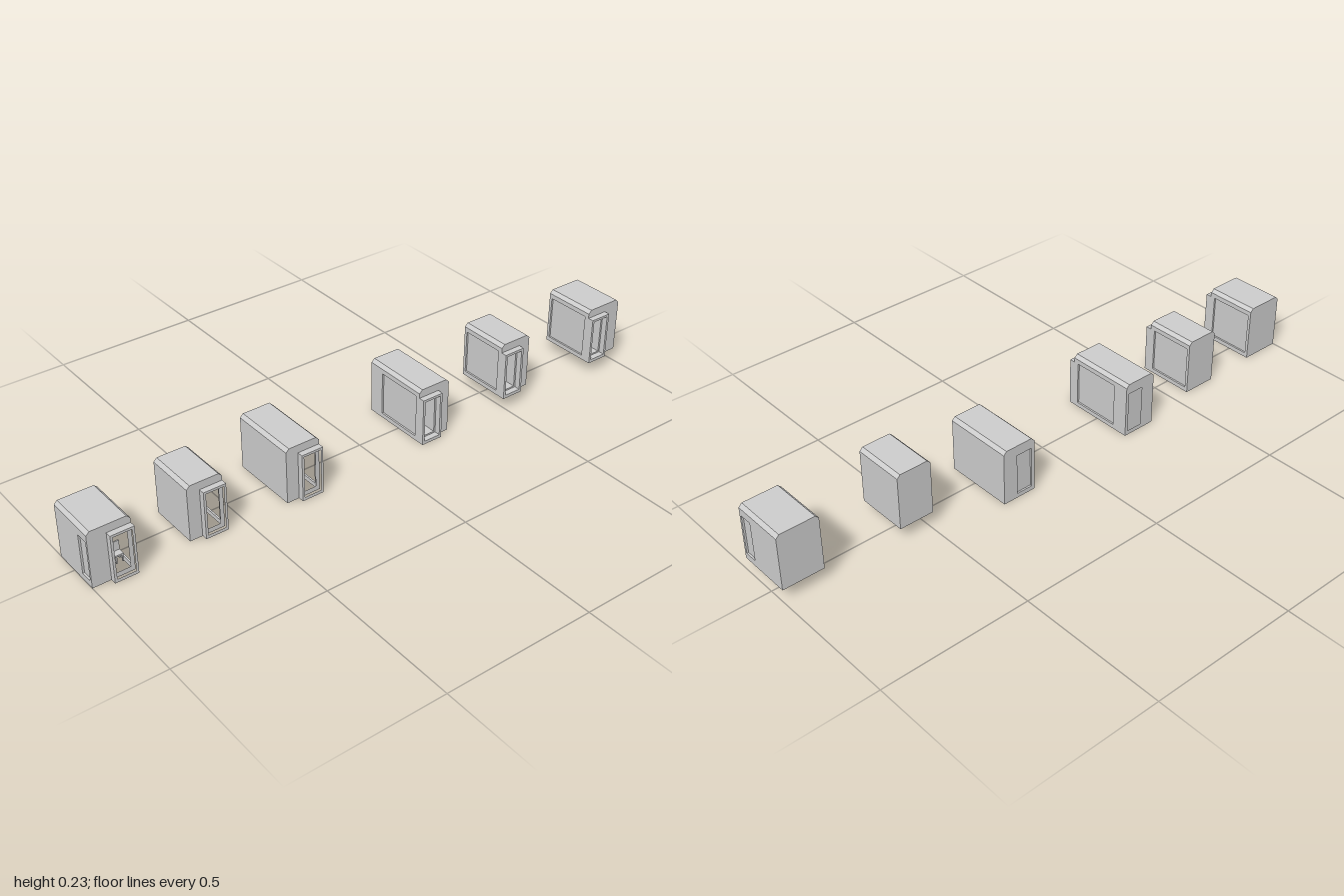
import * as THREE from 'three';

const material = new THREE.MeshStandardMaterial({ color: 0xcccccc, flatShading: true });

const H = 0.19;        // cabin height
const CHAMFER = 0.011; // roof edge chamfer
const SKIN = 0.006;    // depth of the recessed panels
const DOOR_W = 0.076;
const DOOR_H = 0.163;

// x is measured from the door edge of a cabin; side (+1 / -1) mirrors it
const cabins = [
  { x: -0.864, side: -1, w: 0.136, y: 0, back: -0.08, front: 0.099, kind: 'chair' },
  { x: -0.56, side: -1, w: 0.118, y: 0, back: -0.088, front: 0.087, kind: 'bench' },
  { x: -0.236, side: -1, w: 0.118, y: 0, back: -0.128, front: 0.109, kind: 'rear' },
  { x: 0.155, side: 1, w: 0.118, y: 0, back: -0.138, front: 0.1, kind: 'rear' },
  { x: 0.486, side: 1, w: 0.118, y: 0.045, back: -0.069, front: 0.108, kind: 'bench' },
  { x: 0.862, side: 1, w: 0.138, y: 0.045, back: -0.063, front: 0.119, kind: 'chair' },
];

const rect = (x0, y0, x1, y1) => [[x0, y0], [x1, y0], [x1, y1], [x0, y1]];

// Extruded outline with an optional hole
function plate(outline, hole, depth) {
  const toPoints = (list) => list.map(([x, y]) => new THREE.Vector2(x, y));
  const shape = new THREE.Shape(toPoints(outline));
  if (hole) shape.holes.push(new THREE.Path(toPoints(hole)));
  return new THREE.ExtrudeGeometry(shape, { depth, bevelEnabled: false });
}

function createCabin({ x, side, w, y, back, front, kind }) {
  const cabin = new THREE.Group();
  cabin.position.set(x, y, 0);
  const mirror = (points) => points.map(([px, py]) => [px * side, py]);
  const add = (name, geometry, px = 0, py = 0, pz = 0) => {
    const mesh = new THREE.Mesh(geometry, material);
    mesh.name = name;
    mesh.position.set(px, py, pz);
    cabin.add(mesh);
    return mesh;
  };
  const box = (name, sx, sy, sz, px, py, pz) =>
    add(name, new THREE.BoxGeometry(sx, sy, sz), px * side, py, pz);

  // Hollow body with chamfered roof edges; the walls below are set in for the side skins
  const eave = H - CHAMFER;
  const profile = mirror([
    [SKIN, 0], [w - SKIN, 0], [w - SKIN, eave], [w, eave],
    [w - CHAMFER, H], [CHAMFER, H], [0, eave], [SKIN, eave],
  ]);
  const room = mirror(rect(0.014, 0.016, DOOR_W - 0.014, 0.15));
  const wallZ = back + 0.016;
  add('body', plate(profile, room, front - wallZ), 0, 0, wallZ);
  add('backWall', plate(profile, null, 0.016 - SKIN), 0, 0, back + SKIN);

  // Rear skin, open behind the door on the long cabins
  const rearPanel = kind === 'rear' ? mirror(rect(0.011, 0.015, 0.067, 0.155)) : null;
  add('rearSkin', plate(profile, rearPanel, SKIN), 0, 0, back);

  // Side skins: a wide panel on the door side, a narrow one on the far side
  const sideSkin = (name, localX, hole) => {
    const geometry = plate(rect(back, 0, front, eave), hole, SKIN);
    geometry.rotateY(-Math.PI / 2).translate(SKIN / 2, 0, 0);
    add(name, geometry, localX * side);
  };
  const wideBack = kind === 'rear' ? back + 0.055 : back + 0.01;
  sideSkin('doorSideSkin', SKIN / 2, rect(wideBack, 0.015, front - 0.016, 0.163));
  const window = kind === 'chair' ? rect(front - 0.05, 0.021, front - 0.008, 0.154) : null;
  sideSkin('farSideSkin', w - SKIN / 2, window);

  // Projecting door frame
  const doorway = mirror(rect(0.008, 0.011, DOOR_W - 0.008, 0.155));
  add('doorFrame', plate(mirror(rect(0, 0, DOOR_W, DOOR_H)), doorway, 0.02), 0, 0, front);

  // Furnishings inside the doorway
  if (kind === 'bench') box('bench', 0.048, 0.03, 0.04, DOOR_W / 2, 0.031, back + 0.036);
  if (kind === 'chair') {
    const cz = front - 0.045;
    box('chairSeat', 0.026, 0.005, 0.026, 0.028, 0.042, cz);
    box('chairBack', 0.026, 0.032, 0.004, 0.028, 0.06, cz - 0.011);
    for (const dx of [-0.01, 0.01])
      for (const dz of [-0.01, 0.01])
        box('chairLeg', 0.004, 0.024, 0.004, 0.028 + dx, 0.028, cz + dz);
  }
  return cabin;
}

export function createModel() {
  const model = new THREE.Group();
  model.name = 'cabinRow';
  cabins.forEach((spec, i) => {
    const cabin = createCabin(spec);
    cabin.name = `cabin${i + 1}`;
    model.add(cabin);
  });
  return model;
}
